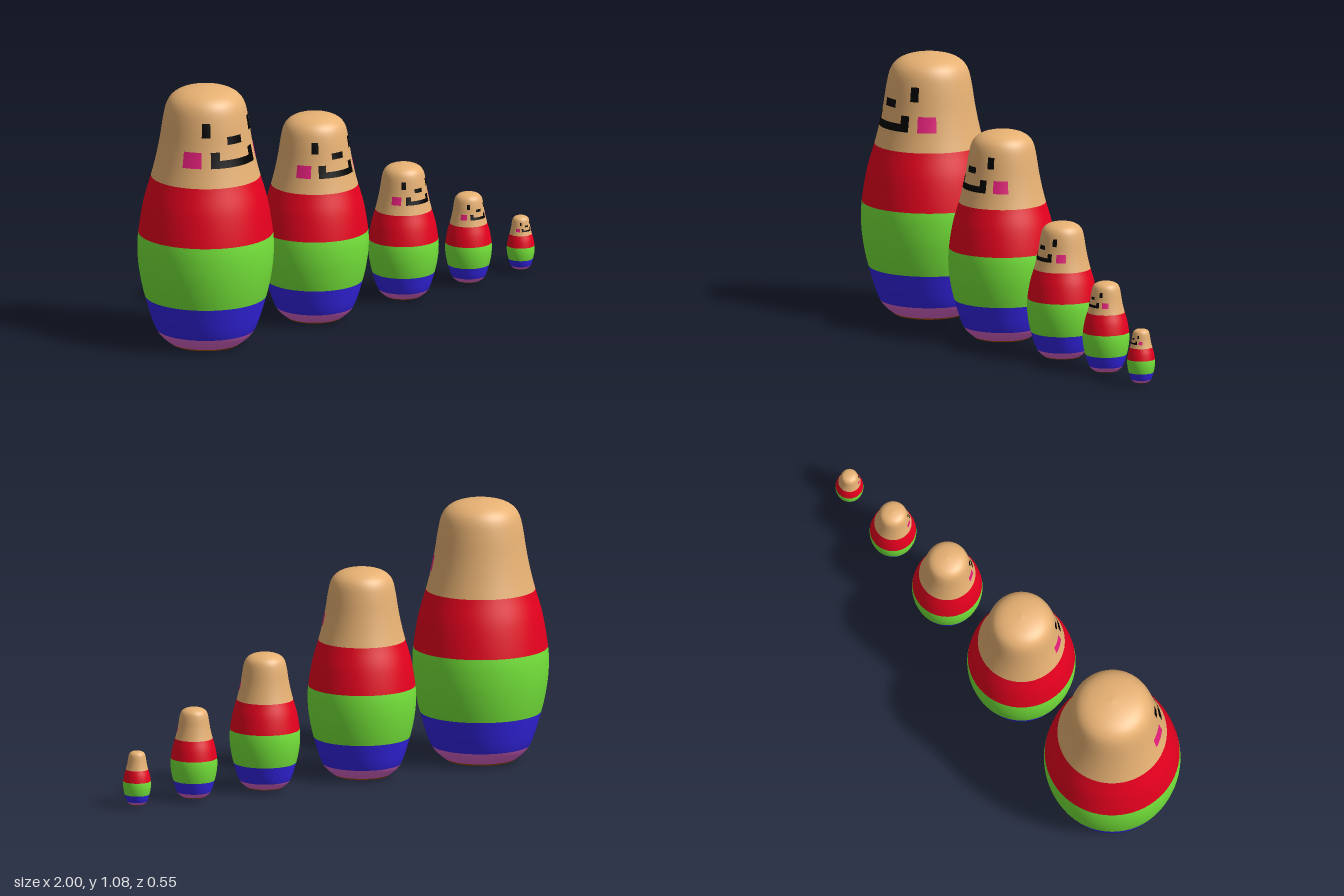
import * as THREE from 'three';

const SEGMENTS = 64;
const STEP = (Math.PI * 2) / SEGMENTS;

// Silhouette of the largest doll as (radius, height), from foot to crown
const profile = new THREE.SplineCurve([
  [0.14, 0], [0.2, 0.06], [0.247, 0.2], [0.27, 0.31], [0.277, 0.4], [0.272, 0.48],
  [0.252, 0.6], [0.222, 0.705], [0.203, 0.78], [0.187, 0.86], [0.173, 0.95],
  [0.16, 1.005], [0.14, 1.038], [0.107, 1.06], [0.06, 1.073], [0, 1.08],
].map(([r, y]) => new THREE.Vector2(r, y)));

// Curve parameter at a given height (height always rises along the curve)
function paramAt(y) {
  let lo = 0, hi = 1;
  for (let i = 0; i < 30; i++) {
    const mid = (lo + hi) / 2;
    if (profile.getPoint(mid).y < y) lo = mid; else hi = mid;
  }
  return (lo + hi) / 2;
}

// Profile points between two heights, optionally lifted off the surface
function slice(y0, y1, count, lift = 0) {
  const a = paramAt(y0), b = paramAt(y1);
  return Array.from({ length: count + 1 }, (_, i) => {
    const p = profile.getPoint(a + ((b - a) * i) / count);
    return new THREE.Vector2(Math.max(0, p.x + lift), p.y);
  });
}

function material(name, color) {
  const m = new THREE.MeshStandardMaterial({ color });
  m.name = name;
  return m;
}

export function createModel() {
  const wood = material('wood', 0xe7b173);
  const red = material('red', 0xf00020);
  const green = material('green', 0x76e63a);
  const blue = material('blue', 0x3626ee);
  const purple = material('purple', 0xdd66cc);
  const brown = material('brown', 0xb05000);
  const black = material('black', 0x000000);
  const pink = material('pink', 0xee2080);

  // Shared parts: [name, geometry, material]
  const parts = [];

  // Flat foot with a thin visible rim
  const foot = [new THREE.Vector2(0, 0), new THREE.Vector2(0.14, 0)];
  parts.push(['footDisc', new THREE.LatheGeometry(foot, SEGMENTS), brown]);

  // Painted body bands, stacked from the foot up
  for (const [name, y0, y1, count, mat] of [
    ['footRim', 0, 0.007, 1, brown],
    ['purpleBand', 0.007, 0.06, 6, purple],
    ['blueBand', 0.06, 0.2, 12, blue],
    ['greenBand', 0.2, 0.467, 16, green],
    ['redBand', 0.467, 0.705, 16, red],
    ['head', 0.705, 1.08, 40, wood],
  ]) parts.push([name, new THREE.LatheGeometry(slice(y0, y1, count), SEGMENTS), mat]);

  // Face patches: columns c0..c1 counted from the front centre line
  const patch = (name, c0, c1, y0, y1, mat) => parts.push([name,
    new THREE.LatheGeometry(slice(y0, y1, 6, 0.0012), c1 - c0, c0 * STEP, (c1 - c0) * STEP), mat]);
  patch('nose', -2, 2, 0.875, 0.907, black);
  patch('mouth', -6, 6, 0.784, 0.815, black);
  for (const [side, s] of [['left', 1], ['right', -1]]) {
    const mirrored = (name, a, b, y0, y1, mat) =>
      patch(side + name, s > 0 ? a : -b, s > 0 ? b : -a, y0, y1, mat);
    mirrored('Eye', 6, 8, 0.907, 0.966, black);
    mirrored('MouthCorner', 4, 6, 0.815, 0.849, black);
    mirrored('Cheek', 8, 12, 0.784, 0.849, pink);
  }

  // Five dolls in a row, largest to smallest: [x, base height, total height]
  const model = new THREE.Group();
  model.name = 'nestingDolls';
  [
    [-0.723, 0, 1.08],
    [-0.147, 0.004, 0.858],
    [0.323, 0.008, 0.558],
    [0.667, 0.01, 0.37],
    [0.943, 0.011, 0.221],
  ].forEach(([x, y, height], i) => {
    const doll = new THREE.Group();
    doll.name = `doll${i + 1}`;
    doll.position.set(x, y, 0);
    doll.scale.setScalar(height / 1.08);
    for (const [name, geometry, mat] of parts) {
      const mesh = new THREE.Mesh(geometry, mat);
      mesh.name = name;
      doll.add(mesh);
    }
    model.add(doll);
  });
  return model;
}
